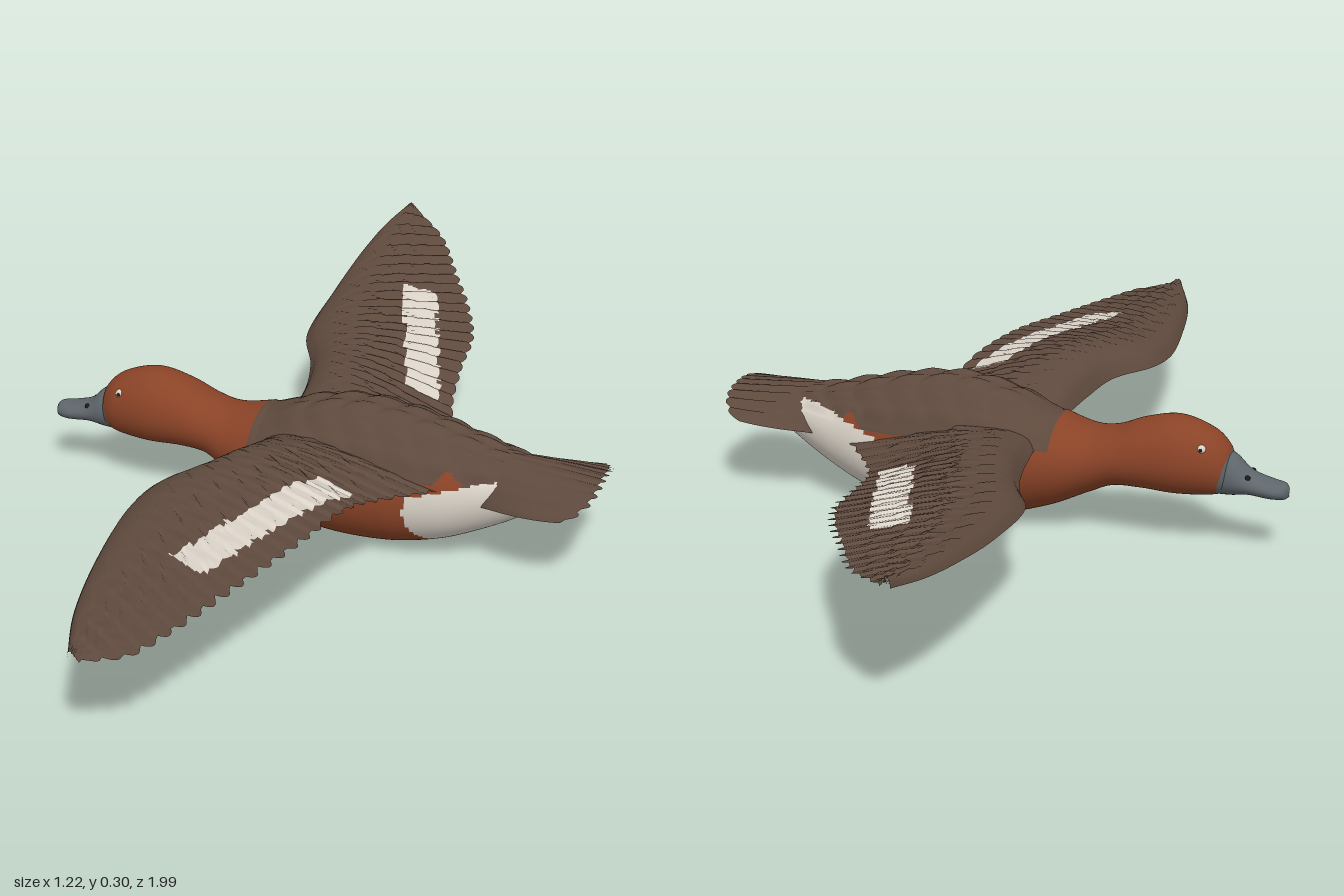
import * as THREE from 'three';

const { lerp, smoothstep } = THREE.MathUtils;
const V = (a) => new THREE.Vector3(...a);
const curve = (rows) => new THREE.CatmullRomCurve3(rows.map(V));

const colour = (name, hex) => {
  const m = new THREE.MeshStandardMaterial({ color: hex });
  m.name = name;
  return m;
};

// Grid surface: point(u, v) gives the position, pick(centre) the material index
function surface(name, point, nu, nv, mats, { wrap = false, flip = false, pick = () => 0 } = {}) {
  const pos = [], rows = wrap ? nv : nv + 1;
  for (let i = 0; i <= nu; i++)
    for (let j = 0; j < rows; j++) pos.push(...point(i / nu, j / nv));
  const buckets = mats.map(() => []);
  for (let i = 0; i < nu; i++)
    for (let j = 0; j < nv; j++) {
      const j2 = (j + 1) % rows;
      const a = i * rows + j, b = a + rows, c = (i + 1) * rows + j2, d = i * rows + j2;
      const mid = [0, 1, 2].map((k) => (pos[a * 3 + k] + pos[b * 3 + k] + pos[c * 3 + k] + pos[d * 3 + k]) / 4);
      buckets[pick(mid)].push(...(flip ? [a, c, b, a, d, c] : [a, b, c, a, c, d]));
    }
  const geo = new THREE.BufferGeometry();
  geo.setAttribute('position', new THREE.Float32BufferAttribute(pos, 3));
  geo.setIndex(buckets.flat());
  let start = 0;
  buckets.forEach((f, k) => { geo.addGroup(start, f.length, k); start += f.length; });
  geo.computeVertexNormals();
  const mesh = new THREE.Mesh(geo, mats.length > 1 ? mats : mats[0]);
  mesh.name = name;
  return mesh;
}

// Egg-shaped cross-sections; station = [x, top, bottom, height of widest point, half width, z centre]
function loft(stations, bump = () => 0) {
  const A = curve(stations.map((s) => s.slice(0, 3)));
  const B = curve(stations.map((s) => s.slice(3)));
  return (u, v) => {
    const p = A.getPoint(u), q = B.getPoint(u), a = v * Math.PI * 2;
    const c = -Math.cos(a), h = c > 0 ? p.y - q.x : q.x - p.z;
    const y = q.x + c * h;
    return [p.x, y + bump(p.x, y, a), q.z + Math.sin(a) * Math.max(q.y, 0.001)];
  };
}

// Border between the dark back and the flanks
const backLine = (x) => 0.19 + 0.028 * Math.exp(-(((x - 0.305) / 0.022) ** 2));

function bodyColour([x, y, z]) {
  if (x < -0.467 - 0.27 * (y - 0.13)) return 3;
  const whiteTop = Math.min(0.168 + (x - 0.24) * 0.25, 0.203) + (z < 0 ? 0.015 : 0);
  if (x > 0.22 + 6 * (y - 0.13) ** 2 && y < whiteTop) return 2;
  return x > -0.13 && y > backLine(x) ? 1 : 0;
}

// Feathered slab, upper and lower skin, from a middle surface and a thickness rule
function slab(name, mid, thick, nu, nv, mats, flip, pick = () => 0) {
  const group = new THREE.Group();
  group.name = name;
  for (const side of [1, -1]) {
    const point = (s, u) => {
      const [x, y, z] = mid(s, u);
      return [x, y + side * thick(s, u), z];
    };
    group.add(surface(name + (side > 0 ? 'Upper' : 'Lower'), point, nu, nv, mats,
      { flip: (side < 0) !== flip, pick: (p) => pick(p, side) }));
  }
  return group;
}

function wing(name, lead, trail, camber, barUnder, mats) {
  const L = curve(lead), T = curve(trail), sign = Math.sign(lead[1][2]), feathers = 26;
  const mid = (s, u) => {
    const sl = s - 0.28 * s * Math.sin(Math.PI * s); // sweeps the feathers towards the tip
    const a = L.getPointAt(sl), b = T.getPointAt(s);
    const f = (s * feathers) % 1;
    const w = u * (1 - (0.015 + 0.06 * s) * (2 * f - 1) ** 2 * u ** 3);
    const p = a.lerp(b, w);
    const arch = camber * (1 - 0.8 * s) * smoothstep(s, -0.15, 0.25) * Math.sin(Math.PI * w ** 0.5) ** 1.3;
    const ridge = 0.007 * (f - 0.5) * smoothstep(u, 0.2, 0.5);
    const row = 0.004 * ((u * 5 + 0.25 * Math.sin(s * 90)) % 1) * Math.sin(Math.PI * u);
    return [p.x, p.y + arch + ridge + row, p.z];
  };
  const thick = (s, u) => lerp(0.05, 0.008, smoothstep(s, 0, 0.35)) * Math.sqrt(u) * (1 - u) + 0.003 * u;
  // Pale bar across the flight feathers; barUnder is how far out it runs below
  const pick = ([x, , z], side) => {
    const t = (Math.abs(z) - 0.26) / 0.4;
    const end = (side > 0 ? 1 : barUnder) + 0.6 * (x + 0.02);
    return t > 0 && t < end && x > lerp(0.088, -0.058, t) && x < lerp(0.163, 0.02, t) ? 1 : 0;
  };
  return slab(name, mid, thick, 224, 30, mats, sign < 0, pick);
}

export function createModel() {
  const rust = colour('rust', 0x8a4327);
  const brown = colour('brown', 0x5e493d);
  const white = colour('offWhite', 0xd9d1c6);
  const grey = colour('billGrey', 0x5f666b);
  const dark = colour('dark', 0x1d1917);
  const model = new THREE.Group();
  model.name = 'flyingDuck';

  // Head, neck and body in one skin
  const feathering = (x, y, a) => (x > -0.12 && y > backLine(x) + 0.01
    ? 0.008 * Math.abs(Math.sin(x * 42 + Math.sin(a * 5)) * Math.sin(a * 9)) * smoothstep(x, -0.12, 0) * (1 - smoothstep(x, 0.4, 0.5)) - 0.003 : 0);
  const body = loft([
    [-0.495, 0.2, 0.15, 0.175, 0.012, -0.008],
    [-0.485, 0.225, 0.13, 0.177, 0.04, -0.01],
    [-0.455, 0.253, 0.12, 0.185, 0.06, -0.01],
    [-0.38, 0.276, 0.114, 0.19, 0.075, -0.01],
    [-0.31, 0.262, 0.117, 0.185, 0.074, -0.01],
    [-0.25, 0.237, 0.113, 0.175, 0.073, -0.007],
    [-0.2, 0.229, 0.09, 0.16, 0.082, 0],
    [-0.12, 0.245, 0.05, 0.15, 0.11, 0.008],
    [-0.02, 0.28, 0.017, 0.14, 0.131, 0.015],
    [0.08, 0.299, 0.005, 0.135, 0.136, 0.015],
    [0.18, 0.29, 0.01, 0.135, 0.135, 0.015],
    [0.28, 0.268, 0.033, 0.145, 0.121, 0.016],
    [0.36, 0.247, 0.067, 0.16, 0.097, 0.018],
    [0.44, 0.23, 0.11, 0.178, 0.066, 0.02],
    [0.52, 0.218, 0.165, 0.195, 0.03, 0.02],
    [0.54, 0.205, 0.195, 0.2, 0.002, 0.02],
  ], feathering);
  model.add(surface('body', body, 220, 96, [rust, brown, white, grey], { wrap: true, pick: bodyColour }));

  // Bill, broad and flat at the tip
  const bill = loft([
    [-0.611, 0.15, 0.134, 0.142, 0.004, -0.012],
    [-0.602, 0.16, 0.128, 0.144, 0.022, -0.012],
    [-0.575, 0.164, 0.127, 0.147, 0.033, -0.012],
    [-0.53, 0.18, 0.13, 0.153, 0.034, -0.012],
    [-0.495, 0.211, 0.124, 0.163, 0.038, -0.011],
    [-0.465, 0.215, 0.122, 0.165, 0.038, -0.01],
  ]);
  model.add(surface('bill', bill, 32, 32, [grey], { wrap: true }));

  // Eyes and nostrils
  const dot = (name, mat, r, x, y, z) => {
    const m = new THREE.Mesh(new THREE.SphereGeometry(r, 16, 12), mat);
    m.position.set(x, y, z);
    m.name = name;
    model.add(m);
  };
  for (const s of [1, -1]) {
    dot('eye', white, 0.0095, -0.44, 0.228, -0.01 + s * 0.0475);
    dot('pupil', dark, 0.0042, -0.44, 0.2285, -0.01 + s * 0.0545);
    dot('nostril', dark, 0.006, -0.53, 0.17, -0.012 + s * 0.023);
  }

  // Wings: leading and trailing edges from root to tip
  model.add(wing('leftWing', [
    [-0.1, 0.195, 0.08], [-0.116, 0.205, 0.21], [-0.145, 0.22, 0.3], [-0.205, 0.223, 0.39],
    [-0.22, 0.22, 0.48], [-0.198, 0.22, 0.66], [-0.155, 0.216, 0.85], [-0.1, 0.215, 0.99],
  ], [
    [0.33, 0.17, 0.08], [0.21, 0.196, 0.23], [0.178, 0.227, 0.345], [0.148, 0.232, 0.5],
    [0.1, 0.224, 0.66], [0.038, 0.214, 0.85], [-0.005, 0.211, 0.945], [-0.075, 0.214, 0.99],
  ], 0.07, 1.12, [brown, white]));
  model.add(wing('rightWing', [
    [-0.1, 0.195, -0.07], [-0.117, 0.19, -0.2], [-0.145, 0.196, -0.3], [-0.196, 0.205, -0.41],
    [-0.208, 0.226, -0.61], [-0.205, 0.25, -0.77], [-0.19, 0.272, -0.91], [-0.163, 0.287, -1],
  ], [
    [0.33, 0.16, -0.06], [0.205, 0.158, -0.23], [0.167, 0.186, -0.4], [0.152, 0.202, -0.53],
    [0.106, 0.218, -0.645], [0.036, 0.238, -0.77], [-0.05, 0.263, -0.915], [-0.14, 0.286, -0.995],
  ], 0.06, 0.5, [brown, white]));

  // Fanned tail, drooping at the sides
  const tailMid = (t, u) => {
    const v = 2 * t - 1, f = (t * 10) % 1;
    const reach = 0.25 - 0.045 * v ** 4 - 0.014 * (2 * f - 1) ** 2;
    return [0.355 + u * reach, lerp(0.228, 0.216, u) - lerp(0.076, 0.036, u) * v * v + 0.006 * (f - 0.5) * u,
      0.028 + v * lerp(0.075, 0.128, Math.sin(u * Math.PI * 0.5))];
  };
  const tailThick = (t, u) => 0.014 * Math.sqrt(Math.max(0, 1 - (2 * t - 1) ** 2)) * (1 - 0.6 * u);
  model.add(slab('tail', tailMid, tailThick, 80, 20, [brown], false));

  return model;
}
